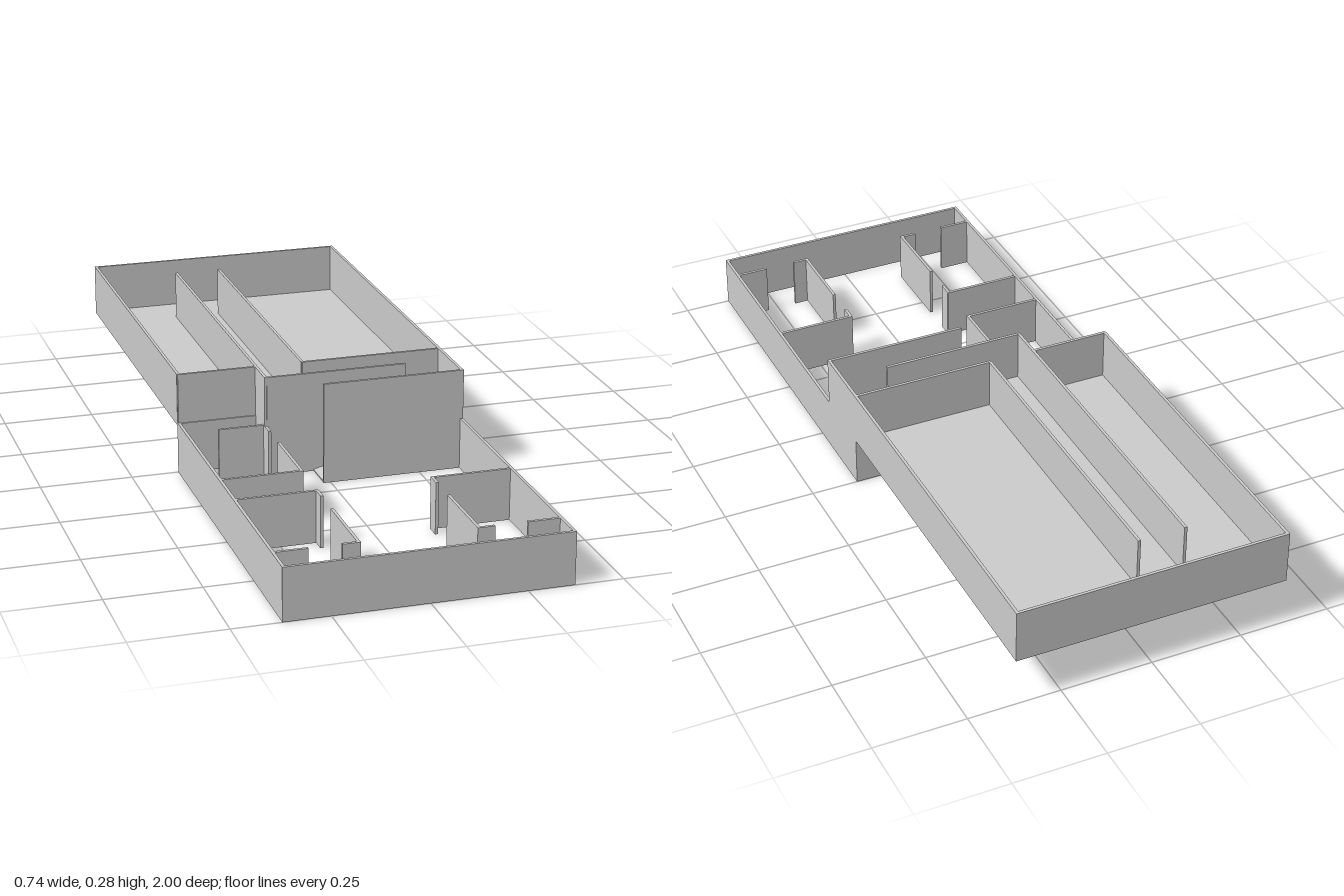
import * as THREE from 'three';

const T = 0.008; // wall thickness
const H1 = 0.142, BASE2 = 0.134, H2 = 0.28; // storey heights
const W = 0.37, FLOOR = 0.142;
const material = new THREE.MeshStandardMaterial({ color: 0xcccccc, flatShading: true });

// Axis-aligned block given by its min and max on each axis
function block(parent, name, x0, x1, y0, y1, z0, z1) {
  const mesh = new THREE.Mesh(new THREE.BoxGeometry(x1 - x0, y1 - y0, z1 - z0), material);
  mesh.position.set((x0 + x1) / 2, (y0 + y1) / 2, (z0 + z1) / 2);
  mesh.name = name;
  parent.add(mesh);
}

const wallX = (g, name, x0, x1, z, y0, y1) => block(g, name, x0, x1, y0, y1, z - T / 2, z + T / 2);
const wallZ = (g, name, x, z0, z1, y0, y1) => block(g, name, x - T / 2, x + T / 2, y0, y1, z0, z1);

// Sloping thin slab rising along x between two z limits
function ramp(parent, name, xa, ya, xb, yb, z0, z1) {
  const t = 0.004;
  const shape = new THREE.Shape([[xa, ya], [xb, yb], [xb, yb + t], [xa, ya + t]].map(([x, y]) => new THREE.Vector2(x, y)));
  const mesh = new THREE.Mesh(new THREE.ExtrudeGeometry(shape, { depth: z1 - z0, bevelEnabled: false }), material);
  mesh.position.z = z0;
  mesh.name = name;
  parent.add(mesh);
}

export function createModel() {
  const model = new THREE.Group();
  model.name = 'twoStoreyFloorPlan';
  const lower = new THREE.Group(), upper = new THREE.Group(), stairs = new THREE.Group();
  lower.name = 'lowerStorey';
  upper.name = 'upperStorey';
  stairs.name = 'stairwell';
  model.add(lower, upper, stairs);

  // Lower storey: outer walls, open underneath
  for (const s of [-1, 1]) wallZ(lower, 'lowerSideWall', s * (W - T / 2 + 0.002), 0, 1, 0, H1);
  wallX(lower, 'lowerFrontWall', -W, W, 1 - T / 2, 0, H1);
  wallX(lower, 'lowerRearWall', -W, W, T / 2, 0, H1);

  // Mirrored front rooms with door gaps
  for (const s of [-1, 1]) {
    const acrossX = (name, a, b, z) => wallX(lower, name, Math.min(s * a, s * b), Math.max(s * a, s * b), z, 0, H1);
    acrossX('frontRoomRearWall', 0.15, W, 0.565);
    acrossX('closetWall', 0.15, 0.195, 0.907);
    acrossX('closetWall', 0.28, W, 0.907);
    wallZ(lower, 'frontRoomDoorJamb', s * 0.153, 0.565, 0.605, 0, H1);
    wallZ(lower, 'frontRoomInnerWall', s * 0.153, 0.69, 0.911, 0, H1);
  }

  // Rear room beside the stairs
  wallX(lower, 'rearRoomFrontWall', -W, -0.148, 0.426, 0, H1);
  wallZ(lower, 'rearRoomInnerWall', -0.152, 0.215, 0.43, 0, H1);
  wallZ(lower, 'rearRoomDoorJamb', -0.152, 0, 0.13, 0, H1);
  wallX(lower, 'rearRoomPartition', -0.28, -0.15, 0.08, 0, H1);

  // Upper storey: floor, outer walls and corridor
  block(upper, 'upperFloor', -W, W, FLOOR - 0.004, FLOOR, -1 + T, 0.004);
  block(upper, 'stairTopFloor', -0.15, -0.02, FLOOR - 0.004, FLOOR, 0, 0.09);
  wallZ(upper, 'upperRightWall', -W + T / 2 - 0.002, -1, 0, BASE2, H2);
  wallZ(upper, 'upperLeftWall', W - T / 2 + 0.002, -1, 0.189, BASE2, H2);
  wallX(upper, 'upperRearWall', -W, W, -1 + T / 2, BASE2, H2);
  wallX(upper, 'upperFrontWall', -W, -0.15, -T / 2 + 0.004, BASE2, H2);
  wallX(upper, 'upperFrontWall', -0.024, W, -T / 2 + 0.004, BASE2, H2);
  wallZ(upper, 'corridorWall', -0.152, -0.87, 0.094, FLOOR, H2);
  wallZ(upper, 'corridorWall', -0.023, -0.87, 0, FLOOR, H2);

  // Stairwell: front wall, dividing wall, two flights and a half landing
  const half = FLOOR / 2;
  wallX(stairs, 'stairFrontWall', -0.02, W, 0.185, 0, H2);
  wallX(stairs, 'stairDividingWall', -0.15, 0.24, 0.092, 0, H2);
  ramp(stairs, 'lowerFlight', -0.02, 0, 0.24, half - 0.004, 0.092, 0.185);
  ramp(stairs, 'upperFlight', -0.02, FLOOR - 0.004, 0.24, half - 0.004, 0.004, 0.092);
  block(stairs, 'halfLanding', 0.24, W, half - 0.004, half, 0.004, 0.185);
  return model;
}
